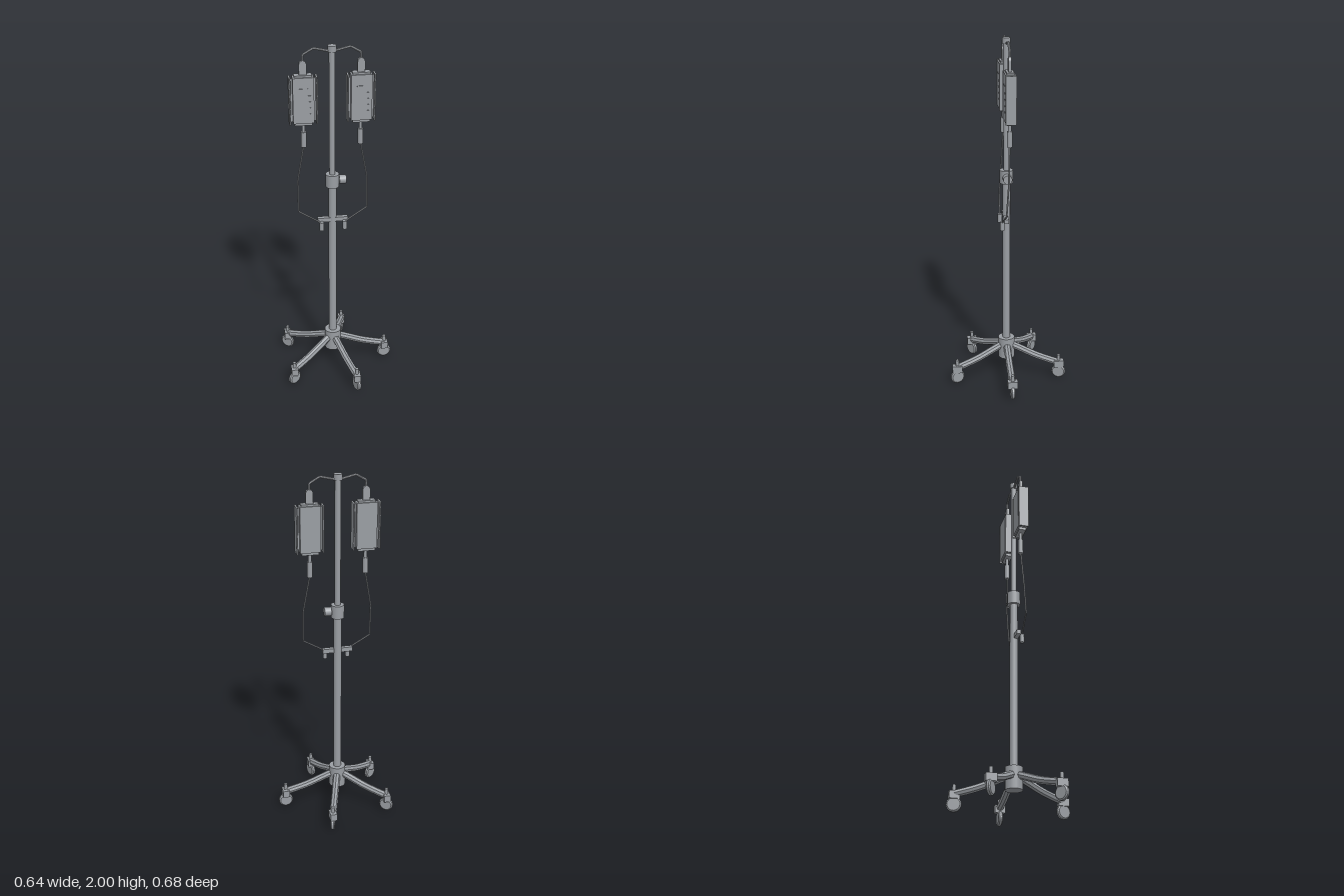
import * as THREE from 'three';

const material = new THREE.MeshStandardMaterial({ color: 0x9a9ea3, side: THREE.DoubleSide });
const facetedMaterial = material.clone();
facetedMaterial.flatShading = true;
const V = (x, y, z = 0) => new THREE.Vector3(x, y, z);

function add(parent, name, geometry, x = 0, y = 0, z = 0, mat = material) {
  const mesh = new THREE.Mesh(geometry, mat);
  mesh.name = name;
  mesh.position.set(x, y, z);
  parent.add(mesh);
  return mesh;
}

// Upright cylinder between two heights
function post(parent, name, radius, y0, y1, x = 0, z = 0) {
  return add(parent, name, new THREE.CylinderGeometry(radius, radius, y1 - y0, 20), x, (y0 + y1) / 2, z);
}

function box(parent, name, w, y0, y1, d, x = 0, z = 0) {
  return add(parent, name, new THREE.BoxGeometry(w, y1 - y0, d), x, (y0 + y1) / 2, z);
}

// Faceted tube along points; tension 0 gives straight runs with sharp bends
function tube(parent, name, points, radius, segments, sides, tension = 0) {
  const curve = new THREE.CatmullRomCurve3(points, false, 'catmullrom', tension);
  return add(parent, name, new THREE.TubeGeometry(curve, segments, radius, sides), 0, 0, 0, facetedMaterial);
}

// Rounded plate standing at the bag's side, round in plan
function flangeGeometry(height) {
  const t = 0.0045, d = 0.025;
  const s = new THREE.Shape();
  s.moveTo(-t, -d);
  s.absarc(0, -d, t, Math.PI, 2 * Math.PI, false);
  s.lineTo(t, d);
  s.absarc(0, d, t, 0, Math.PI, false);
  s.closePath();
  const g = new THREE.ExtrudeGeometry(s, { depth: height, bevelEnabled: false, curveSegments: 6 });
  return g.rotateX(-Math.PI / 2);
}

// Rounded hanging tab
function tabGeometry() {
  const s = new THREE.Shape();
  s.moveTo(-0.02, 1.84);
  s.lineTo(0.02, 1.84);
  s.lineTo(0.02, 1.905);
  s.quadraticCurveTo(0.018, 1.925, 0, 1.926);
  s.quadraticCurveTo(-0.018, 1.925, -0.02, 1.905);
  s.closePath();
  return new THREE.ExtrudeGeometry(s, { depth: 0.016, bevelEnabled: false }).translate(0, 0, -0.008);
}

// Wheel with chamfered rims, axle along z
function wheelGeometry() {
  const profile = [[0, -0.012], [0.034, -0.012], [0.041, -0.006], [0.041, 0.006], [0.034, 0.012], [0, 0.012]];
  return new THREE.LatheGeometry(profile.map(([r, y]) => new THREE.Vector2(r, y)), 24).rotateX(Math.PI / 2);
}

function createBag(x) {
  const bag = new THREE.Group();
  bag.name = 'fluidBag';
  bag.position.x = x;
  box(bag, 'bagBody', 0.112, 1.585, 1.84, 0.056);
  box(bag, 'bagEnds', 0.094, 1.57, 1.85, 0.04);
  box(bag, 'sideWeb', 0.142, 1.59, 1.83, 0.008);
  for (const s of [-1, 1]) add(bag, 'sideSeam', flangeGeometry(0.26), s * 0.0715, 1.58, 0);
  add(bag, 'hangingTab', tabGeometry());
  // Raised scale on the front
  box(bag, 'scaleHeading', 0.05, 1.775, 1.781, 0.004, 0, 0.029);
  for (let i = 0; i < 4; i++) box(bag, 'scaleTick', 0.022, 1.635 + i * 0.034, 1.64 + i * 0.034, 0.004, 0.028, 0.029);
  // Outlet and drip chamber
  post(bag, 'outlet', 0.009, 1.52, 1.575);
  post(bag, 'dripChamber', 0.015, 1.44, 1.527);
  return bag;
}

// Leg running along +x with its castor
function createLeg(angle) {
  const leg = new THREE.Group();
  leg.name = 'leg';
  leg.rotation.y = angle;
  tube(leg, 'legTube', [V(0.02, 0.192), V(0.08, 0.17), V(0.17, 0.135), V(0.24, 0.115), V(0.312, 0.098)], 0.021, 10, 8, 0.5);
  post(leg, 'castorStem', 0.01, 0.05, 0.147, 0.313);
  const block = box(leg, 'castorBlock', 0.039, 0.07, 0.112, 0.058, 0.313);
  block.rotation.y = -angle;
  add(leg, 'castorWheel', wheelGeometry(), 0.313, 0.041, 0, facetedMaterial);
  return leg;
}

export function createModel() {
  const model = new THREE.Group();
  model.name = 'dripStand';
  const stand = new THREE.Group();
  stand.name = 'stand';
  stand.position.x = -0.031;
  model.add(stand);

  // Base
  post(stand, 'baseHub', 0.048, 0.11, 0.235);
  for (let i = 0; i < 5; i++) stand.add(createLeg((i * 2 * Math.PI) / 5));

  // Telescopic pole
  post(stand, 'lowerPole', 0.0225, 0.2, 1.2);
  post(stand, 'upperPole', 0.0165, 1.2, 1.98);
  post(stand, 'topCap', 0.023, 1.967, 2.0);
  post(stand, 'lockCollar', 0.037, 1.19, 1.265);
  const shank = add(stand, 'knobShank', new THREE.CylinderGeometry(0.012, 0.012, 0.04, 16), 0.035, 1.228, 0);
  const knob = add(stand, 'lockKnob', new THREE.CylinderGeometry(0.025, 0.025, 0.038, 20), 0.057, 1.228, 0);
  shank.rotation.z = knob.rotation.z = Math.PI / 2;

  // Tube holder bar passing through the pole
  box(stand, 'tubeBar', 0.17, 0.975, 1.0, 0.024, 0, 0.007);

  // Hooks, bags and lines on both sides
  for (const s of [-1, 1]) {
    tube(stand, 'hook', [V(0, 1.967), V(s * 0.097, 1.99), V(s * 0.154, 1.957), V(s * 0.154, 1.91)], 0.007, 24, 8);
    stand.add(createBag(s * 0.154));
    tube(stand, 'dripLine', [
      V(s * 0.154, 1.45), V(s * 0.191, 1.24, 0.008), V(s * 0.191, 1.055, 0.02),
      V(s * 0.085, 0.99, 0.028), V(s * 0.066, 0.975, 0.03),
    ], 0.0045, 48, 6);
    post(stand, 'lineClip', 0.0125, 0.932, 0.982, s * 0.065, 0.03);
  }
  return model;
}
